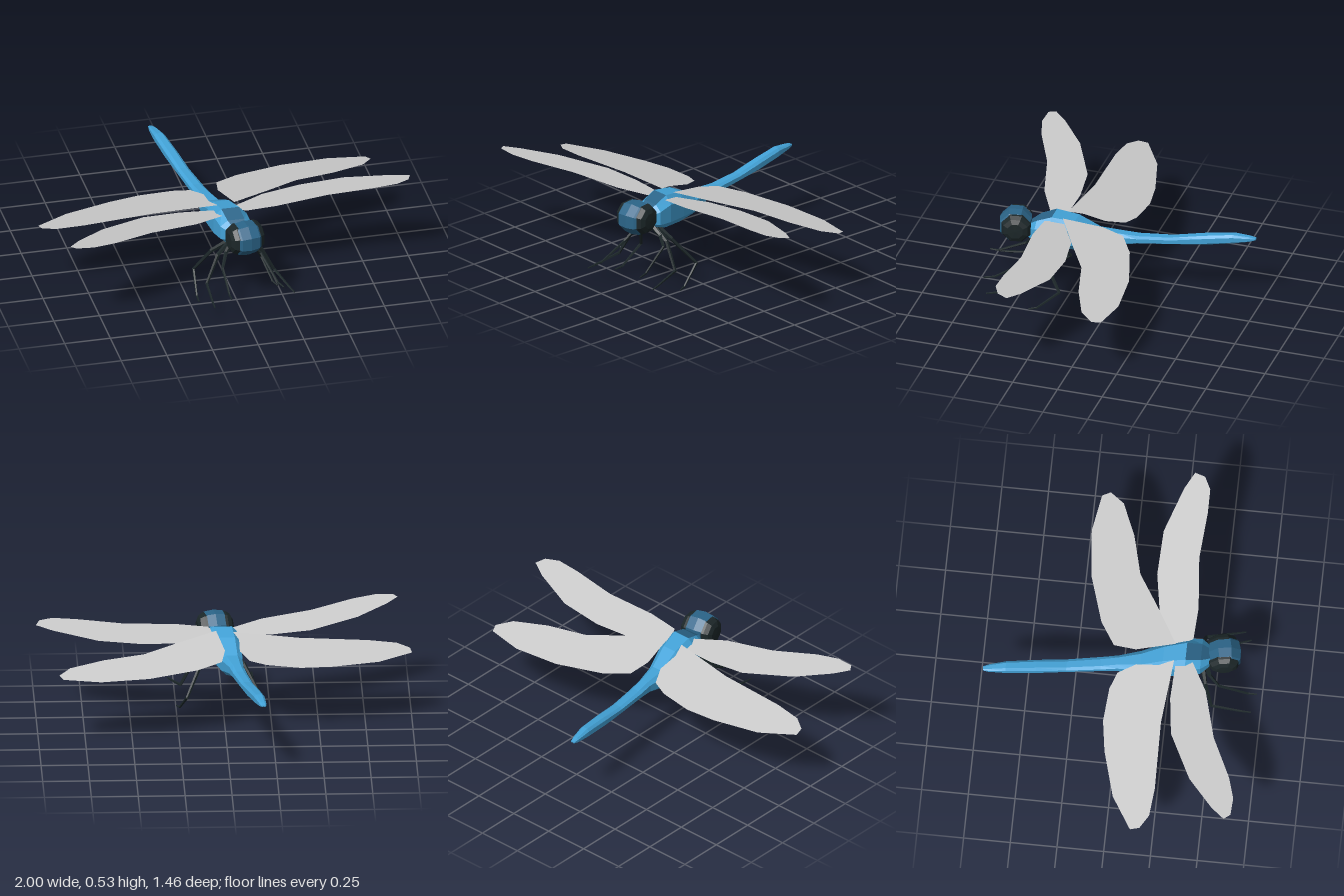
import * as THREE from 'three';

const mat = (name, color, extra = {}) => {
  const m = new THREE.MeshStandardMaterial({ color, flatShading: true, ...extra });
  m.name = name;
  return m;
};

// Body line drifts sideways as it runs back
const axisX = (z) => -0.055 + 0.17 * z;

// Rounded eight-sided loft; rings are [z, bottom, top, halfWidth] from front to back
function loft(rings, keep) {
  const n = 8, pos = [];
  const pow = (v) => Math.sign(v) * Math.abs(v) ** 0.7;
  const point = (i, j) => {
    const [z, lo, hi, w] = rings[i];
    const a = ((j + 0.5) / n) * Math.PI * 2;
    return [axisX(z) + w * pow(Math.cos(a)), (lo + hi) / 2 + ((hi - lo) / 2) * 1.04 * pow(Math.sin(a)), z];
  };
  for (let i = 0; i < rings.length - 1; i++) {
    for (let j = 0; j < n; j++) {
      if (!keep(i, j)) continue;
      const a = point(i, j), b = point(i, j + 1), c = point(i + 1, j), d = point(i + 1, j + 1);
      pos.push(...a, ...c, ...b, ...b, ...c, ...d);
    }
  }
  const g = new THREE.BufferGeometry();
  g.setAttribute('position', new THREE.Float32BufferAttribute(pos, 3));
  g.computeVertexNormals();
  return g;
}

// Flat wing: outline in x,z raised onto a tilted plane
function wingGeometry(outline, height) {
  const g = new THREE.ShapeGeometry(new THREE.Shape(outline.map(([x, z]) => new THREE.Vector2(x, -z))));
  const p = g.attributes.position;
  for (let i = 0; i < p.count; i++) {
    const x = p.getX(i), z = -p.getY(i);
    p.setXYZ(i, x, height(Math.abs(x), z), z);
  }
  g.computeVertexNormals();
  return g;
}

export function createModel() {
  const model = new THREE.Group();
  const blue = mat('body blue', 0x43a3d8);
  const darkBlue = mat('dark blue', 0x2b6589);
  const black = mat('eye and leg black', 0x1c2729);
  const grey = mat('wing grey', 0xcccccc, { side: THREE.DoubleSide });

  const add = (name, geometry, material, parent = model) => {
    const m = new THREE.Mesh(geometry, material);
    m.name = name;
    parent.add(m);
    return m;
  };

  // Thorax and abdomen
  const rings = [
    [0.48, 0.36, 0.385, 0.002], [0.47, 0.33, 0.41, 0.05], [0.42, 0.305, 0.445, 0.09],
    [0.34, 0.288, 0.475, 0.095], [0.22, 0.28, 0.455, 0.08], [0.1, 0.285, 0.395, 0.06],
    [-0.02, 0.32, 0.388, 0.04], [-0.11, 0.335, 0.38, 0.038], [-0.29, 0.345, 0.385, 0.034],
    [-0.45, 0.355, 0.41, 0.034], [-0.61, 0.375, 0.428, 0.03], [-0.7, 0.39, 0.418, 0.02],
    [-0.73, 0.4, 0.41, 0.012], [-0.731, 0.404, 0.406, 0.001],
  ];
  const isCollar = (i, j) => i < 3 && j === 1;
  add('body', loft(rings, (i, j) => !isCollar(i, j)), blue);
  add('thoraxCollar', loft(rings, isCollar), darkBlue);

  // Head: drum with bevelled sides, lying across the body
  const head = new THREE.Group();
  head.name = 'head';
  head.position.set(0.04, 0.398, 0.542);
  head.rotation.y = 0.17;
  model.add(head);
  const drum = (pts) => {
    const g = new THREE.LatheGeometry(pts.map(([r, y]) => new THREE.Vector2(r, y)), 8);
    return g.rotateY(Math.PI / 8).rotateZ(-Math.PI / 2);
  };
  add('skull', drum([[0, -0.08], [0.06, -0.08], [0.086, -0.05], [0.093, 0], [0.086, 0.05], [0.06, 0.08], [0, 0.08]]), blue.name ? darkBlue : blue, head);
  for (const side of [1, -1]) {
    const eye = add(side > 0 ? 'leftEye' : 'rightEye', drum([[0.086, 0.048], [0.084, 0.062], [0.07, 0.084], [0.045, 0.096], [0, 0.098]]), black, head);
    eye.rotation.y = side > 0 ? 0 : Math.PI;
    eye.position.z = -0.008;
  }

  // Wings
  const wings = [
    ['leftHindWing', [[0, 0.07], [0.02, -0.05], [0.15, -0.13], [0.41, -0.21], [0.67, -0.235], [0.87, -0.2], [0.89, -0.155],
      [0.83, -0.08], [0.65, -0.005], [0.43, 0.05], [0.25, 0.16], [0.04, 0.28]], (x, z) => 0.43 - 0.01 * x + 0.18 * (z - 0.05)],
    ['leftForeWing', [[0.03, 0.28], [0.22, 0.175], [0.43, 0.14], [0.67, 0.15], [0.91, 0.235], [1, 0.285], [0.98, 0.34],
      [0.91, 0.375], [0.78, 0.375], [0.53, 0.355], [0.25, 0.38], [0.08, 0.37]], (x, z) => 0.45 + 0.07 * x + 0.16 * (z - 0.33)],
    ['rightHindWing', [[-0.05, 0.28], [-0.08, 0.2], [-0.08, 0.08], [-0.13, -0.015], [-0.22, -0.05], [-0.4, -0.065], [-0.57, -0.04],
      [-0.82, 0.03], [-1, 0.14], [-0.99, 0.19], [-0.92, 0.235], [-0.77, 0.25], [-0.4, 0.245]], (x, z) => 0.46 - 0.055 * x + 0.19 * (z - 0.245)],
    ['rightForeWing', [[-0.03, 0.29], [-0.26, 0.28], [-0.465, 0.305], [-0.72, 0.43], [-0.88, 0.565], [-0.94, 0.635], [-0.915, 0.67],
      [-0.82, 0.675], [-0.7, 0.64], [-0.475, 0.535], [-0.21, 0.465], [-0.05, 0.38]], (x, z) => 0.45 + 0.04 * x + 0.14 * (z - 0.38)],
  ];
  for (const [name, outline, height] of wings) add(name, wingGeometry(outline, height), grey);

  // Legs: hip, upper joint, knee, ankle, toe
  const legs = {
    rightFrontLeg: [[-0.01, 0.33, 0.45], [-0.05, 0.28, 0.47], [-0.08, 0.215, 0.52], [-0.08, 0.137, 0.68], [-0.08, 0.138, 0.725]],
    leftFrontLeg: [[0.05, 0.33, 0.44], [0.11, 0.285, 0.43], [0.148, 0.235, 0.44], [0.2, 0.142, 0.61], [0.22, 0.14, 0.665]],
    rightMiddleLeg: [[-0.02, 0.32, 0.43], [-0.09, 0.26, 0.45], [-0.16, 0.115, 0.49], [-0.165, 0.088, 0.65], [-0.165, 0.083, 0.7]],
    leftMiddleLeg: [[0.05, 0.32, 0.42], [0.15, 0.26, 0.42], [0.225, 0.115, 0.425], [0.27, 0.088, 0.58], [0.285, 0.082, 0.63]],
    rightHindLeg: [[-0.02, 0.315, 0.41], [-0.11, 0.25, 0.38], [-0.19, 0.11, 0.31], [-0.2, 0.01, 0.43], [-0.2, 0.005, 0.48]],
    leftHindLeg: [[0.04, 0.315, 0.4], [0.12, 0.25, 0.36], [0.195, 0.105, 0.25], [0.23, 0.01, 0.365], [0.245, 0.005, 0.405]],
  };
  const radii = [0.016, 0.011, 0.008, 0.006, 0.004];
  const up = new THREE.Vector3(0, 1, 0);
  for (const [name, points] of Object.entries(legs)) {
    const leg = new THREE.Group();
    leg.name = name;
    model.add(leg);
    for (let i = 0; i < points.length - 1; i++) {
      const a = new THREE.Vector3(...points[i]), b = new THREE.Vector3(...points[i + 1]);
      const dir = b.clone().sub(a);
      const seg = add('legSegment', new THREE.CylinderGeometry(radii[i + 1], radii[i], dir.length() + 0.004, 5), black, leg);
      seg.position.copy(a).add(b).multiplyScalar(0.5);
      seg.quaternion.setFromUnitVectors(up, dir.normalize());
    }
  }
  return model;
}
